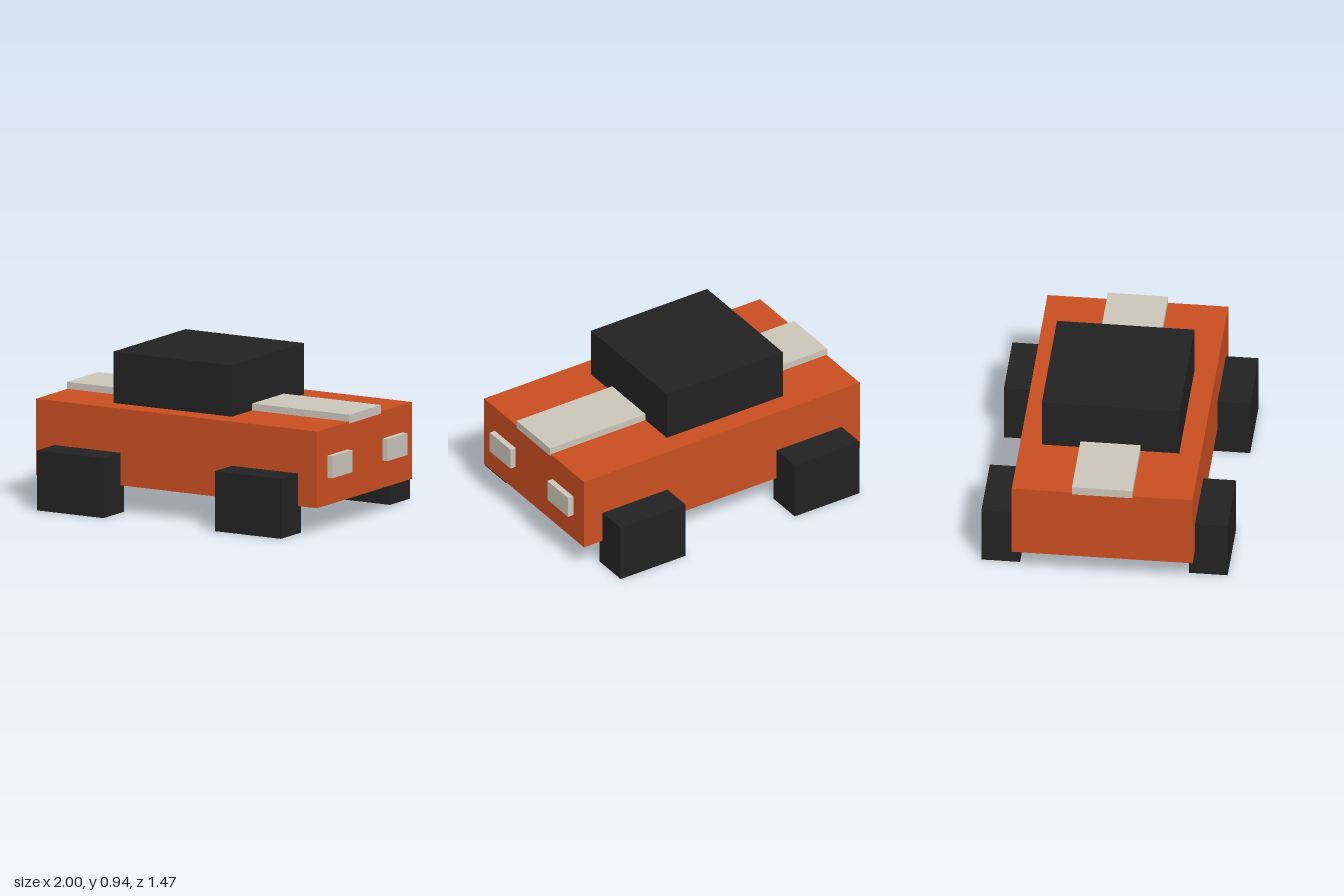
import * as THREE from 'three';

export function createModel() {
  const car = new THREE.Group();
  car.name = 'blockCar';

  const paint = (name, color) => {
    const m = new THREE.MeshStandardMaterial({ color });
    m.name = name;
    return m;
  };
  const orange = paint('orange', 0xc94e21);
  const black = paint('black', 0x222222);
  const cream = paint('cream', 0xcac5b9);

  // Box given by its extents along each axis
  const block = (name, material, [x0, x1], [y0, y1], [z0, z1]) => {
    const mesh = new THREE.Mesh(new THREE.BoxGeometry(x1 - x0, y1 - y0, z1 - z0), material);
    mesh.position.set((x0 + x1) / 2, (y0 + y1) / 2, (z0 + z1) / 2);
    mesh.name = name;
    car.add(mesh);
  };

  // Body, cabin and the raised stripe running the full length beneath the cabin
  block('body', orange, [-0.995, 0.963], [0.166, 0.63], [-0.54, 0.54]);
  block('cabin', black, [-0.535, 0.29], [0.63, 0.94], [-0.41, 0.41]);
  block('stripe', cream, [-1, 0.968], [0.62, 0.672], [-0.18, 0.18]);

  // Wheels and headlights, mirrored across z
  for (const side of [1, -1]) {
    const span = (a, b) => (side > 0 ? [a, b] : [-b, -a]);
    const suffix = side > 0 ? 'Near' : 'Far';
    block('rearWheel' + suffix, black, [-0.866, -0.405], [0, 0.363], span(0.504, 0.735));
    block('frontWheel' + suffix, black, [0.37, 0.83], [0, 0.363], span(0.504, 0.735));
    block('headlight' + suffix, cream, [0.95, 1], [0.332, 0.465], span(0.2, 0.424));
  }

  return car;
}
